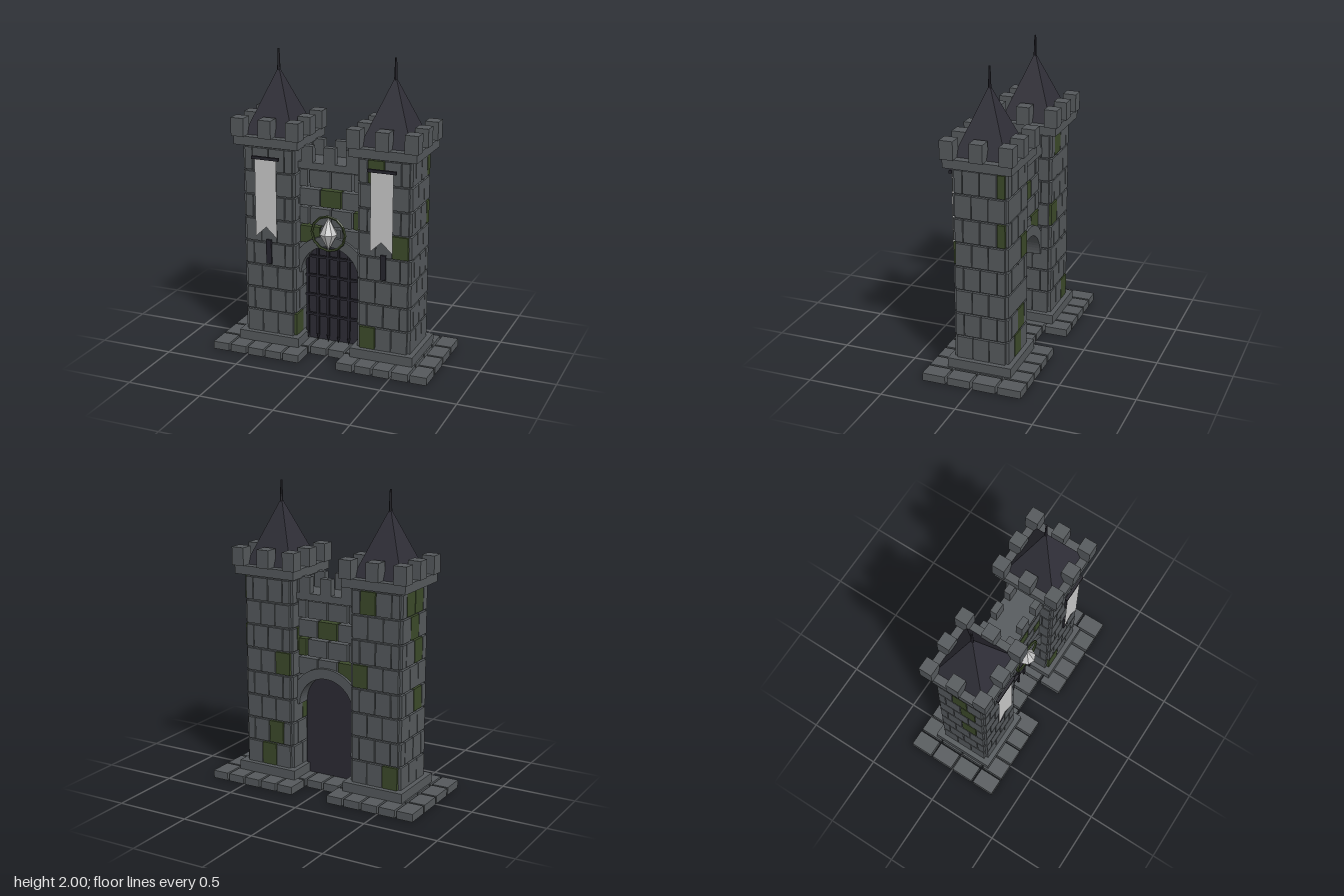
import * as THREE from 'three';

const mat = (name, color, side = THREE.FrontSide) => {
  const m = new THREE.MeshStandardMaterial({ color, side, flatShading: true });
  m.name = name;
  return m;
};

export function createModel() {
  const stone = mat('stone', 0x55595c);
  const moss = mat('mossy stone', 0x3c4a2a);
  const roofMat = mat('roof slate', 0x302f38);
  const iron = mat('dark iron', 0x25242c);
  const doorMat = mat('dark timber', 0x2c2b34);
  const cloth = mat('pale cloth', 0xc8c8c8, THREE.DoubleSide);
  const crystalMat = mat('pale crystal', 0xc8c8c8);

  const model = new THREE.Group();
  model.name = 'castleGate';
  const group = (name, parent = model) => {
    const g = new THREE.Group();
    g.name = name;
    parent.add(g);
    return g;
  };
  const add = (parent, name, geo, material, x = 0, y = 0, z = 0) => {
    const m = new THREE.Mesh(geo, material);
    m.name = name;
    m.position.set(x, y, z);
    parent.add(m);
    return m;
  };
  // Box given by centre x/z, bottom and top heights
  const box = (parent, name, material, x, z, y0, y1, w, d) =>
    add(parent, name, new THREE.BoxGeometry(w, y1 - y0, d), material, x, (y0 + y1) / 2, z);

  // Paving: full rows at the towers, only inner rows in the gateway
  const paving = group('paving');
  for (let c = 0; c < 12; c++) {
    const x = (c - 5.5) * 0.126;
    for (let r = 0; r < 4; r++) {
      if (Math.abs(x) < 0.1 && (r === 0 || r === 3)) continue;
      box(paving, 'pavingSlab', stone, x, (r - 1.5) * 0.17, 0, 0.052, 0.111, 0.155);
    }
  }

  // Mossy blocks as row-side-index; sides: 0 front, 1 +x, 2 back, 3 -x
  const mossSets = {
    right: ['7-3-2', '6-3-1', '7-3-1', '5-3-2', '3-3-2', '0-1-0', '7-2-1', '0-2-2', '4-2-0', '6-1-1'],
    left: ['7-0-1', '4-0-2', '0-0-0', '7-1-3', '5-1-3', '4-2-2', '1-2-2', '2-3-1', '5-3-1', '0-2-1'],
  };
  const full = 0.105, half = 0.05;
  const evenRow = [[-0.11, full], [0, full], [0.11, full]];
  const oddRow = [[-0.1395, half], [-0.056, full], [0.056, full], [0.1395, half]];

  const bannerShape = new THREE.Shape([
    [-0.075, 1.325], [-0.075, 0.8], [0, 0.87], [0.075, 0.8], [0.075, 1.325],
  ].map(([x, y]) => new THREE.Vector2(x, y)));

  for (const [side, sx] of [['right', -1], ['left', 1]]) {
    const tower = group(side + 'Tower');
    tower.position.x = sx * 0.397;
    box(tower, 'plinth', stone, 0, 0, 0.05, 0.115, 0.43, 0.43);
    box(tower, 'towerCore', stone, 0, 0, 0.11, 1.41, 0.328, 0.328);

    // Facing blocks in staggered courses on all four sides
    for (let s = 0; s < 4; s++) {
      const face = group('facing', tower);
      face.rotation.y = s * Math.PI / 2;
      for (let row = 0; row < 8; row++) {
        const y0 = 0.115 + row * 0.16;
        (row % 2 ? oddRow : evenRow).forEach(([x, w], i) => {
          const m = mossSets[side].includes(`${row}-${s}-${i}`) ? moss : stone;
          box(face, 'facingBlock', m, x, 0.171, y0, y0 + 0.148, w, 0.022);
        });
      }
    }

    // Cornice and battlements
    box(tower, 'cornice', stone, 0, 0, 1.403, 1.462, 0.446, 0.446);
    for (const i of [-1, 0, 1]) for (const k of [-1, 0, 1]) {
      if (i || k) box(tower, 'merlon', stone, i * 0.191, k * 0.191, 1.46, 1.58, 0.088, 0.088);
    }

    // Pointed roof with finial
    const roof = add(tower, 'roof', new THREE.ConeGeometry(0.172 * Math.SQRT2, 0.425, 4), roofMat, 0, 1.6725, 0);
    roof.rotation.y = Math.PI / 4;
    add(tower, 'finial', new THREE.CylinderGeometry(0.006, 0.011, 0.14, 6), iron, 0, 1.93, 0);

    // Arrow slits, banner and its rod
    box(tower, 'arrowSlit', iron, 0, 0.184, 0.607, 0.773, 0.037, 0.022);
    box(tower, 'arrowSlit', iron, 0, 0.184, 0.988, 1.154, 0.037, 0.022);
    box(tower, 'bannerRod', iron, 0, 0.227, 1.322, 1.341, 0.19, 0.018);
    add(tower, 'banner', new THREE.ShapeGeometry(bannerShape), cloth, 0, 0, 0.225);
  }

  // Gate wall courses: [bottom, blocks as x, width, mossy]
  const wall = group('gateWall');
  const wide = [[-0.187, 0.055], [-0.075, 0.14], [0.075, 0.14], [0.187, 0.055]];
  const three = [[-0.146, 0.135], [0, 0.14], [0.146, 0.135]];
  const courses = [[0.755, three, 0], [0.882, wide, 3], [1.009, three, 1], [1.136, wide, -1]];
  for (const [y0, blocks, mossy] of courses) {
    blocks.forEach(([x, w], i) =>
      box(wall, 'wallBlock', i === mossy ? moss : stone, x, 0, y0, y0 + 0.113, w, 0.19));
  }
  box(wall, 'wallWalk', stone, 0, 0, 1.26, 1.305, 0.44, 0.235);
  for (const x of [-0.155, 0, 0.155]) for (const z of [-0.095, 0.095]) {
    box(wall, 'wallMerlon', stone, x, z, 1.3, 1.412, 0.08, 0.045);
  }

  // Stone arch over the gate
  const archY = 0.55;
  const archShape = new THREE.Shape();
  archShape.absarc(0, 0, 0.268, 0, Math.PI, false);
  archShape.absarc(0, 0, 0.2, Math.PI, 0, true);
  const archGeo = new THREE.ExtrudeGeometry(archShape, { depth: 0.23, bevelEnabled: false, curveSegments: 14 });
  add(wall, 'arch', archGeo, stone, 0, archY, -0.115);

  // Door panel and iron portcullis
  const gate = group('gate');
  const doorShape = new THREE.Shape();
  doorShape.moveTo(-0.203, 0.052);
  doorShape.lineTo(0.203, 0.052);
  doorShape.absarc(0, archY, 0.203, 0, Math.PI, false);
  const doorGeo = new THREE.ExtrudeGeometry(doorShape, { depth: 0.04, bevelEnabled: false, curveSegments: 14 });
  add(gate, 'door', doorGeo, doorMat, 0, 0, -0.02);
  for (let i = 0; i < 6; i++) {
    const x = (i - 2.5) * 0.073;
    const top = archY + Math.sqrt(0.2 ** 2 - x ** 2);
    box(gate, 'gateBar', iron, x, 0.05, 0.1, top, 0.016, 0.016);
    const spike = add(gate, 'barSpike', new THREE.ConeGeometry(0.013, 0.05, 4), iron, x, 0.077, 0.05);
    spike.rotation.x = Math.PI;
  }
  for (const y of [0.24, 0.378, 0.515, 0.65]) {
    box(gate, 'crossBar', iron, 0, 0.052, y - 0.008, y + 0.008, y > 0.6 ? 0.33 : 0.39, 0.018);
  }

  // Crystal emblem in a mossy ring
  const emblem = group('emblem');
  emblem.position.set(0, 0.847, 0.133);
  add(emblem, 'emblemRing', new THREE.TorusGeometry(0.116, 0.009, 5, 12), moss);
  const crystal = new THREE.LatheGeometry(
    [[0, -0.113], [0.06, 0], [0, 0.113]].map(([x, y]) => new THREE.Vector2(x, y)), 8);
  add(emblem, 'crystal', crystal, crystalMat);

  return model;
}
